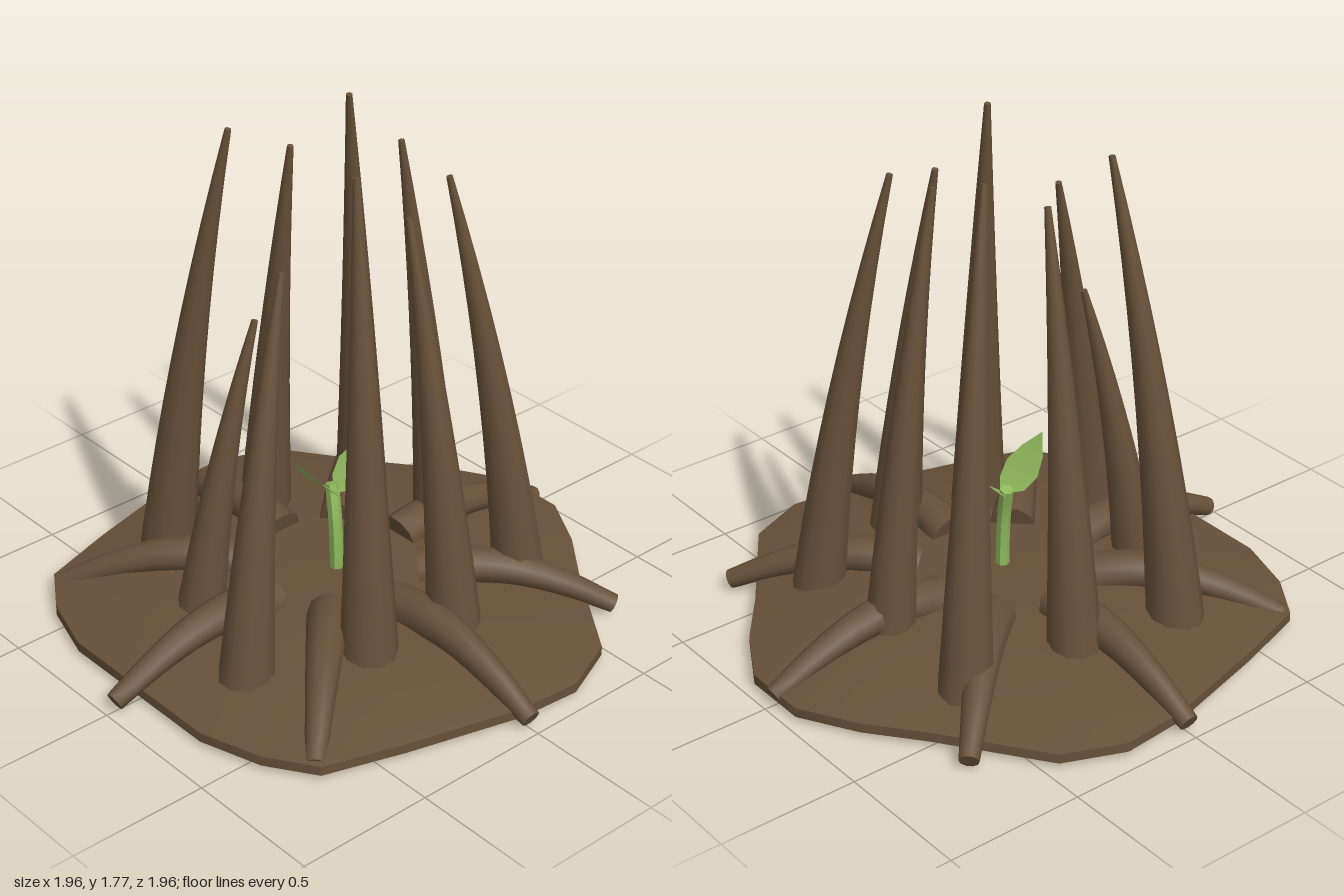
import * as THREE from 'three';
import { toCreasedNormals } from 'three/addons/utils/BufferGeometryUtils.js';

const V = (x, y, z) => new THREE.Vector3(x, y, z);

// Tapered tube with closed ends: the first and last rings collapse onto the path
function taperedTube(curve, segs, sides, r0, r1) {
  const rings = segs + 2;
  const geo = new THREE.TubeGeometry(curve, rings, 1, sides, false);
  const pos = geo.attributes.position;
  const v = V(0, 0, 0);
  for (let i = 0; i <= rings; i++) {
    const from = curve.getPointAt(i / rings);
    const t = THREE.MathUtils.clamp((i - 1) / segs, 0, 1);
    const to = curve.getPointAt(t);
    const r = i === 0 || i === rings ? 0 : r0 + (r1 - r0) * t;
    for (let j = 0; j <= sides; j++) {
      const k = i * (sides + 1) + j;
      v.fromBufferAttribute(pos, k).sub(from).multiplyScalar(r).add(to);
      pos.setXYZ(k, v.x, v.y, v.z);
    }
  }
  return toCreasedNormals(geo, 0.9);
}

// Irregular low mound: a lathe whose rings follow the ground outline
function moundGeometry() {
  const half = [[0.33, 0.87], [0.555, 0.8], [0.72, 0.69], [0.81, 0.41], [0.92, 0],
    [0.94, -0.235], [0.85, -0.45], [0.5, -0.7], [0.32, -0.845], [0.12, -0.96]];
  const outline = [...half, ...half.map(([x, z]) => [-x, z]).reverse()];
  const profile = [[0, 0.02], [1, 0.02], [1, 0.055], [0.75, 0.115], [0.5, 0.15], [0, 0.165]]
    .map(([r, y]) => new THREE.Vector2(r, y));
  const geo = new THREE.LatheGeometry(profile, outline.length);
  const pos = geo.attributes.position;
  for (let k = 0; k < pos.count; k++) {
    const p = profile[k % profile.length];
    const [x, z] = outline[Math.floor(k / profile.length) % outline.length];
    pos.setXYZ(k, x * p.x, p.y, z * p.x);
  }
  return toCreasedNormals(geo, 0.6);
}

// Pointed leaf blade rising outward along +z
function leafGeometry() {
  const rows = [[0, 0.46, 0.015], [0.04, 0.48, 0.065], [0.085, 0.525, 0.082],
    [0.13, 0.575, 0.055], [0.172, 0.635, 0]]; // z, y, half width
  const geo = new THREE.PlaneGeometry(2, 1, 2, rows.length - 1);
  const pos = geo.attributes.position;
  for (let k = 0; k < pos.count; k++) {
    const [z, y, w] = rows[Math.floor(k / 3)];
    pos.setXYZ(k, pos.getX(k) * w, y, z);
  }
  geo.computeVertexNormals();
  return geo;
}

export function createModel() {
  const model = new THREE.Group();
  const bark = new THREE.MeshStandardMaterial({ color: 0x665139 });
  bark.name = 'bark brown';
  const green = new THREE.MeshStandardMaterial({ color: 0x8fb85c, side: THREE.DoubleSide });
  green.name = 'leaf green';
  const add = (name, geo, mat, parent = model) => {
    const mesh = new THREE.Mesh(geo, mat);
    mesh.name = name;
    parent.add(mesh);
    return mesh;
  };

  add('mound', moundGeometry(), bark);

  // Tall thorns leaning inward: base x, z, tip x, z, height, base radius
  const thorns = new THREE.Group();
  thorns.name = 'thorns';
  model.add(thorns);
  [
    [-0.43, -0.5, -0.245, -0.27, 1.77, 0.1],
    [0.41, -0.5, 0.23, -0.28, 1.64, 0.1],
    [-0.01, -0.5, -0.01, -0.29, 1.68, 0.095],
    [-0.5, -0.09, -0.28, -0.045, 1.64, 0.1],
    [0.5, -0.1, 0.28, -0.06, 1.58, 0.1],
    [0.44, 0.235, 0.25, 0.135, 1.77, 0.105],
    [-0.55, 0.32, -0.31, 0.19, 1.76, 0.105],
    [-0.165, 0.48, -0.092, 0.27, 1.18, 0.092],
    [0.245, 0.61, 0.135, 0.345, 1.47, 0.102],
  ].forEach(([bx, bz, tx, tz, h, r]) => {
    const bend = 0.3;
    const curve = new THREE.QuadraticBezierCurve3(V(bx, 0.015, bz),
      V(bx + (tx - bx) * bend, h * 0.5, bz + (tz - bz) * bend), V(tx, h, tz));
    add('thorn', taperedTube(curve, 10, 10, r, 0.011), bark, thorns);
  });

  // Eight arched roots around the centre
  const rootPath = new THREE.CatmullRomCurve3([V(0, 0.15, 0.295), V(0, 0.178, 0.43),
    V(0, 0.172, 0.6), V(0, 0.118, 0.79), V(0, 0.04, 0.965)]);
  const rootGeo = taperedTube(rootPath, 10, 10, 0.08, 0.034);
  for (let i = 0; i < 8; i++) {
    add('root', rootGeo, bark).rotation.y = (i * Math.PI) / 4;
  }

  // Sprout in the middle
  const sprout = new THREE.Group();
  sprout.name = 'sprout';
  model.add(sprout);
  const stemPath = new THREE.CatmullRomCurve3([V(0.015, 0.12, 0.01), V(0.015, 0.26, 0.012),
    V(0.005, 0.37, 0.01), V(-0.022, 0.48, 0)]);
  add('stem', taperedTube(stemPath, 8, 6, 0.024, 0.024), green, sprout);
  const leaf = leafGeometry();
  add('frontLeaf', leaf, green, sprout);
  add('backLeaf', leaf, green, sprout).rotation.y = Math.PI;

  return model;
}
